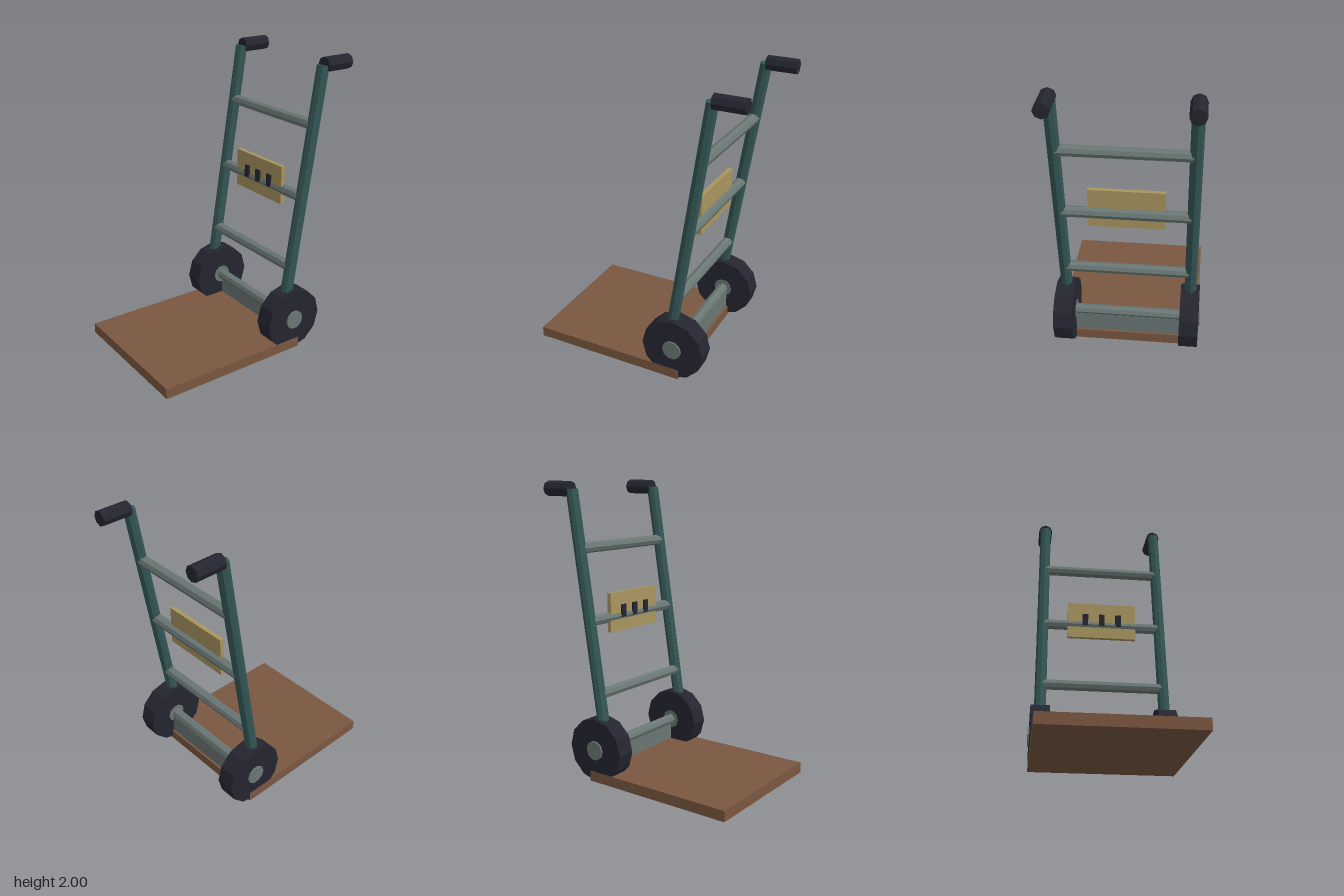
import * as THREE from 'three';

const paint = (name, color) => {
  const m = new THREE.MeshStandardMaterial({ color, flatShading: true });
  m.name = name;
  return m;
};

export function createModel() {
  const teal = paint('teal paint', 0x345656);
  const steel = paint('grey steel', 0x6a7774);
  const rubber = paint('dark rubber', 0x252531);
  const wood = paint('brown wood', 0x7a5740);
  const tan = paint('tan board', 0xa8955f);

  const model = new THREE.Group();
  model.name = 'handTruck';

  const add = (name, geometry, material, x, y, z) => {
    const mesh = new THREE.Mesh(geometry, material);
    mesh.name = name;
    mesh.position.set(x, y, z);
    model.add(mesh);
    return mesh;
  };
  const box = (name, material, w, h, d, x, y, z) =>
    add(name, new THREE.BoxGeometry(w, h, d), material, x, y, z);
  // Cylinder lying along the x axis
  const rod = (name, material, r, length, sides, x, y, z) =>
    add(name, new THREE.CylinderGeometry(r, r, length, sides).rotateZ(Math.PI / 2), material, x, y, z);

  const railX = 0.425, wheelY = 0.225, wheelZ = -0.304;
  const railBottom = new THREE.Vector3(0, 0.24, -0.254);
  const railTop = new THREE.Vector3(0, 1.947, -0.517);
  const railDir = railTop.clone().sub(railBottom);
  const railZ = (y) => railBottom.z + railDir.z * (y - railBottom.y) / railDir.y;

  // Load platform and the upright plate below the axle
  box('platform', wood, 0.98, 0.072, 1.08, 0, 0.036, 0.19);
  box('backPlate', steel, 0.8, 0.14, 0.03, 0, 0.135, -0.32);
  rod('axle', steel, 0.037, 0.8, 8, 0, wheelY, wheelZ);

  // Rails, grips and wheels, mirrored on both sides
  for (const [side, s] of [['left', 1], ['right', -1]]) {
    const rail = add(side + 'Rail', new THREE.CylinderGeometry(0.04, 0.04, railDir.length(), 8), teal,
      s * railX, (railBottom.y + railTop.y) / 2, (railBottom.z + railTop.z) / 2);
    rail.rotation.x = Math.atan2(railDir.z, railDir.y);

    add(side + 'Grip', new THREE.CylinderGeometry(0.05, 0.05, 0.205, 8).rotateX(Math.PI / 2), rubber,
      s * railX, 1.95, -0.626);

    rod(side + 'Wheel', rubber, 0.218, 0.128, 12, s * railX, wheelY, wheelZ);
    rod(side + 'Hub', steel, 0.067, 0.14, 10, s * 0.43, wheelY, wheelZ);
  }

  // Cross rungs between the rails
  for (const y of [0.6, 1.088, 1.567]) {
    rod('rung', steel, 0.037, 0.83, 8, 0, y, railZ(y));
  }

  // Board on the middle rung with three dark tabs
  box('board', tan, 0.492, 0.268, 0.03, 0, 1.12, -0.371);
  for (const x of [-0.12, 0, 0.12]) {
    box('boardTab', rubber, 0.042, 0.086, 0.016, x, 1.123, -0.351);
  }

  return model;
}
